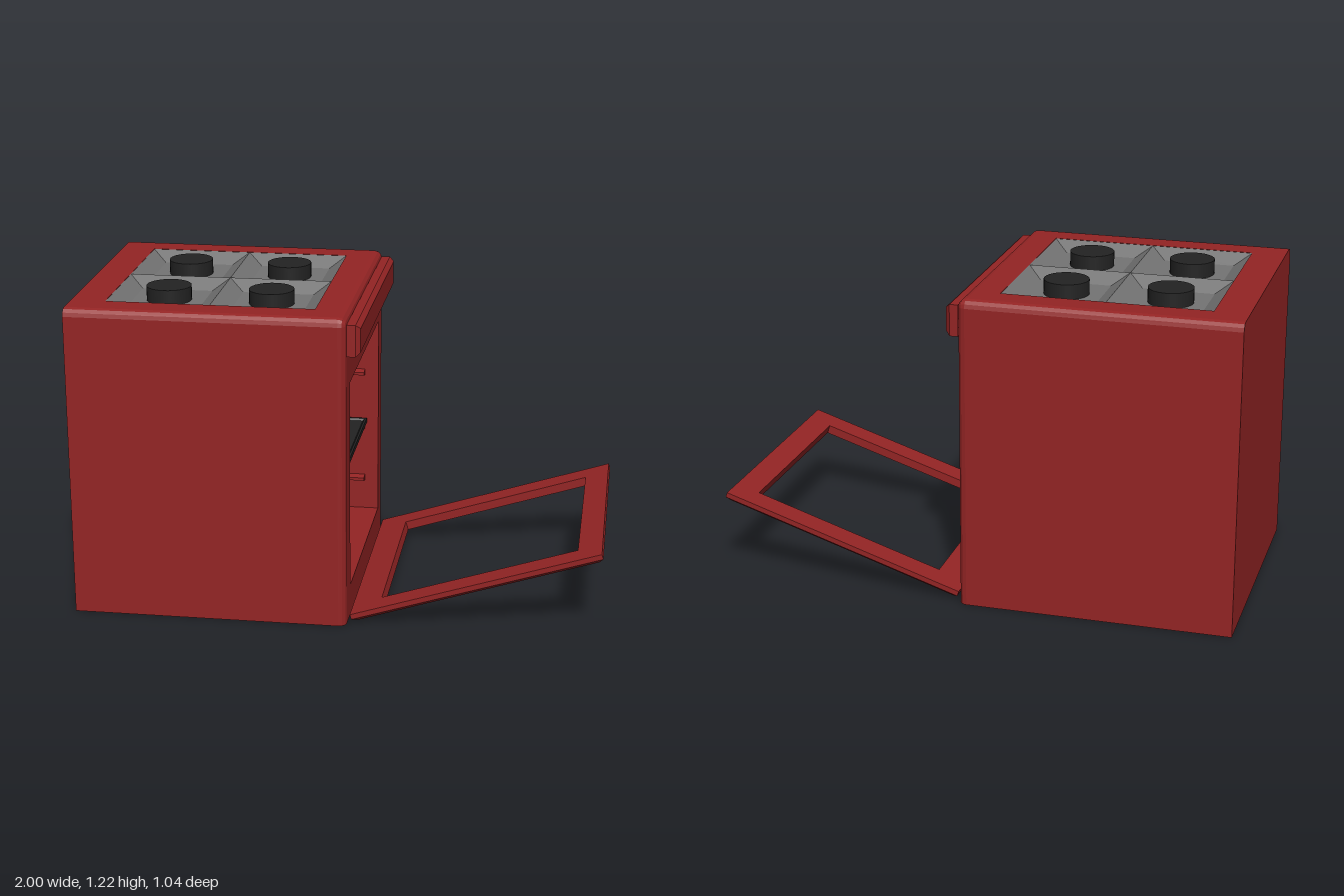
import * as THREE from 'three';

const red = new THREE.MeshStandardMaterial({ name: 'red enamel', color: 0x942424, side: THREE.DoubleSide });
const grey = new THREE.MeshStandardMaterial({ name: 'grey steel', color: 0x747474, side: THREE.DoubleSide });
const black = new THREE.MeshStandardMaterial({ name: 'black iron', color: 0x232323, side: THREE.DoubleSide });

// Joins loops of [x, y, z] points with flat quads; skip(i, j) leaves quads out
function loft(loops, closed, skip = () => false) {
  const pos = [];
  for (let i = 0; i < loops.length - 1; i++) {
    const a = loops[i], b = loops[i + 1], n = a.length;
    for (let j = 0; j < (closed ? n : n - 1); j++) {
      if (skip(i, j)) continue;
      const k = (j + 1) % n;
      pos.push(...a[j], ...a[k], ...b[k], ...a[j], ...b[k], ...b[j]);
    }
  }
  const g = new THREE.BufferGeometry();
  g.setAttribute('position', new THREE.Float32BufferAttribute(pos, 3));
  g.computeVertexNormals();
  return g;
}

// Horizontal rectangle loop at height y
const rect = (x0, x1, z, y) => [[x0, y, z], [x1, y, z], [x1, y, -z], [x0, y, -z]];

function polygon(points) {
  return new THREE.Shape(points.map(([x, y]) => new THREE.Vector2(x, y)));
}

// Flat rectangle a0..a1 by b0..b1 with a rectangular hole
function plate(a0, a1, b0, b1, hole) {
  const s = polygon([[a0, b0], [a1, b0], [a1, b1], [a0, b1]]);
  if (hole) {
    const [c0, c1, d0, d1] = hole;
    s.holes.push(polygon([[c0, d0], [c0, d1], [c1, d1], [c1, d0]]));
  }
  return new THREE.ShapeGeometry(s);
}

export function createModel() {
  const model = new THREE.Group();
  model.name = 'cooker';
  const add = (name, geometry, material, parent = model) => {
    const m = new THREE.Mesh(geometry, material);
    m.name = name;
    parent.add(m);
    return m;
  };

  // Cabinet skin: side and top edges rounded, front edge rolled over
  const R = 0.03, coreZ = 0.4925, coreY = 1.17, steps = 3;
  const section = (x, r) => {
    const p = [[x, 0, coreZ + r]];
    for (let i = 0; i <= 2 * steps + 1; i++) {
      const left = i <= steps;
      const t = (left ? i : i - 1) / steps * Math.PI / 2;
      p.push([x, coreY + r * Math.sin(t), (left ? coreZ : -coreZ) + r * Math.cos(t)]);
    }
    p.push([x, 0, -coreZ - r]);
    return p;
  };
  const sections = [section(-1, R)];
  for (let i = 0; i <= steps; i++) {
    const t = i / steps * Math.PI / 2;
    sections.push(section(0.015 + R * Math.sin(t), R * Math.cos(t)));
  }
  add('cabinetShell', loft(sections, false, (i, j) => i === 0 && j === steps + 1), red);
  add('cabinetBack', new THREE.ShapeGeometry(polygon(sections[0].map(p => [p[2], p[1]])))
    .rotateY(-Math.PI / 2).translate(-1, 0, 0), red);
  add('cabinetBase', plate(-1, 0.045, -0.5, 0.5).rotateX(Math.PI / 2), red);
  add('cabinetTop', plate(-1, 0.015, -coreZ, coreZ, [-0.87, -0.085, -0.395, 0.395])
    .rotateX(-Math.PI / 2).translate(0, 1.2, 0), red);
  add('cabinetFront', plate(-coreZ, coreZ, 0, coreY, [-0.405, 0.405, 0.12, 0.93])
    .rotateY(Math.PI / 2).translate(0.045, 0, 0), red);

  // Oven lining, open at the door and under the hob
  const upper = [[0.045, 0.93], [-0.085, 0.93], [-0.085, 1.198]];
  const lower = [[-0.87, 1.198], [-0.87, 0.12], [0.045, 0.12]];
  for (const [name, pts] of [['ovenLintel', upper], ['ovenBackAndFloor', lower]])
    add(name, loft([-0.405, 0.405].map(z => pts.map(([x, y]) => [x, y, z])), false), red);
  for (const side of [1, -1])
    add('ovenSide', new THREE.ShapeGeometry(polygon([...upper, ...lower])).translate(0, 0, 0.405 * side), red);

  // Tapered shelf rails
  for (const side of [1, -1])
    for (const y of [0.712, 0.482, 0.255]) {
      const s = polygon([[0.405, -0.013], [0.405, 0.013], [0.376, 0.006], [0.376, -0.006]].map(([z, h]) => [z * side, h]));
      add('shelfRail', new THREE.ExtrudeGeometry(s, { depth: 0.85, bevelEnabled: false })
        .rotateY(Math.PI / 2).translate(-0.86, y, 0), red);
    }

  // Shallow baking tray with sloped underside
  add('bakingTray', loft([
    rect(-0.79, -0.06, 0.335, 0.48), rect(-0.85, 0, 0.388, 0.5), rect(-0.85, 0, 0.388, 0.52),
    rect(-0.842, -0.008, 0.38, 0.52), rect(-0.835, -0.015, 0.373, 0.512),
  ], true), black);
  for (const [x0, x1, z, y] of [[-0.79, -0.06, 0.335, 0.48], [-0.835, -0.015, 0.373, 0.512]])
    add('trayPlate', plate(x0, x1, -z, z).rotateX(-Math.PI / 2).translate(0, y, 0), black);

  // Hob: four sunken basins, each with a burner
  const w = 0.19625, d = 0.1975;
  for (const ix of [-1, 1])
    for (const iz of [-1, 1]) {
      const hob = new THREE.Group();
      hob.name = 'hobRing';
      hob.position.set(-0.4775 + ix * w, 0, iz * d);
      model.add(hob);
      add('basinSlopes', loft([rect(-w + 0.06, w - 0.06, d - 0.06, 1.16), rect(-w, w, d, 1.199)], true), grey, hob);
      add('basinFloor', plate(-w + 0.06, w - 0.06, -d + 0.06, d - 0.06)
        .rotateX(-Math.PI / 2).translate(0, 1.16, 0), grey, hob);
      add('burner', new THREE.CylinderGeometry(0.085, 0.085, 0.06, 32).translate(0, 1.186, 0), black, hob);
    }

  // Control panel with chamfered face
  const panel = (x, i) => [[x, 1.055 + i, 0.5 - i], [x, 1.055 + i, -0.5 + i], [x, 1.175 - i, -0.5 + i], [x, 1.175 - i, 0.5 - i]];
  add('controlPanel', loft([panel(0.045, 0), panel(0.078, 0), panel(0.095, 0.015)], true), red);
  add('controlPanelFace', plate(-0.485, 0.485, 1.07, 1.16).rotateY(Math.PI / 2).translate(0.095, 0, 0), red);

  // Open door: window frame with chamfered outer edge
  const L = 0.982;
  const door = add('doorFrame', loft([
    rect(0.115, 0.887, 0.39, 0), rect(0, L, 0.49, 0), rect(0, L, 0.49, -0.02),
    rect(0.02, L - 0.02, 0.47, -0.035), rect(0.115, 0.887, 0.39, -0.035), rect(0.115, 0.887, 0.39, 0),
  ], true), red);
  door.position.set(0.055, 0.035, 0);
  door.rotation.z = 0.311;

  return model;
}
